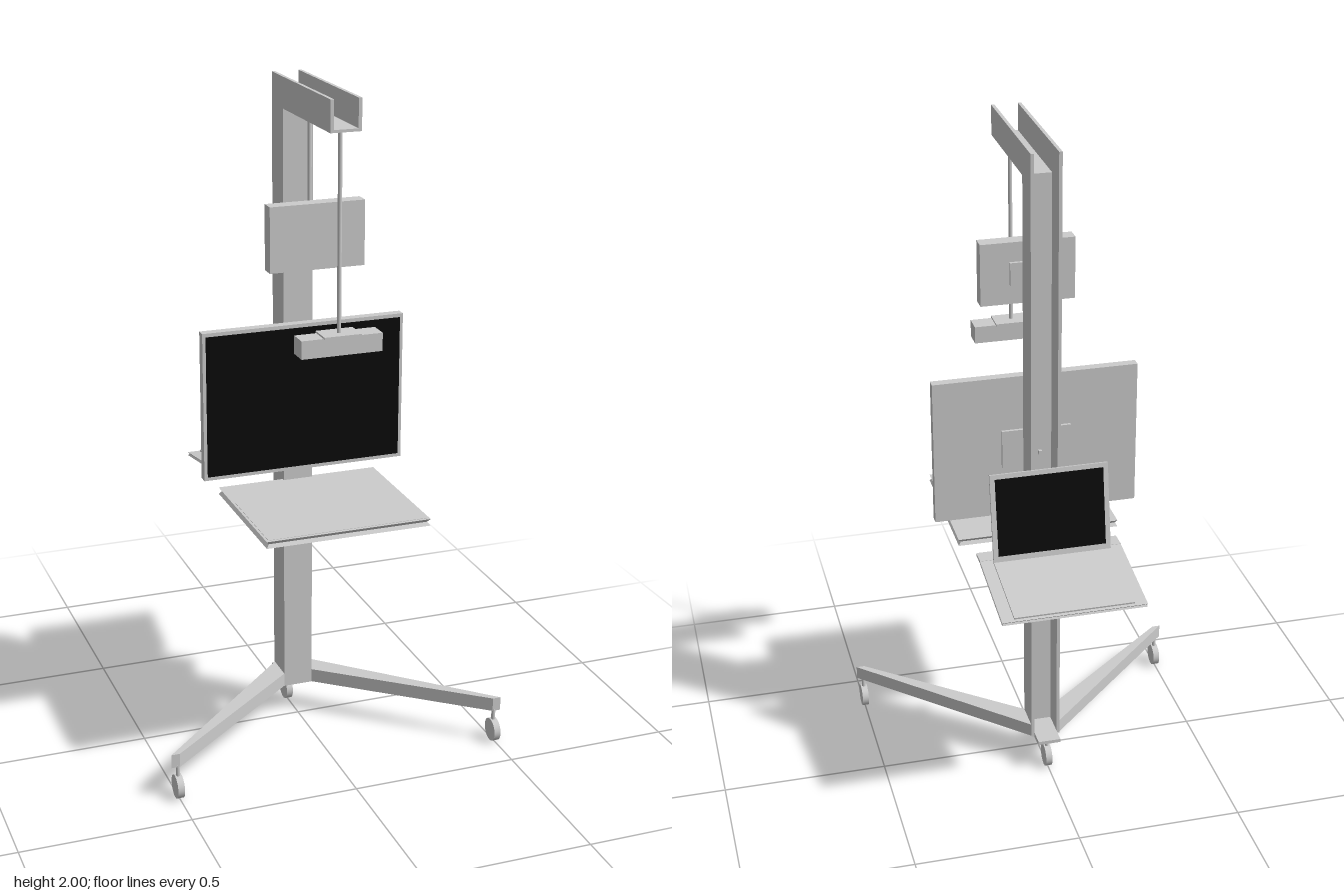
import * as THREE from 'three';

const grey = new THREE.MeshStandardMaterial({ color: 0xcccccc });
const black = new THREE.MeshStandardMaterial({ color: 0x0a0a0a });

function add(parent, name, geometry, material = grey) {
  const mesh = new THREE.Mesh(geometry, material);
  mesh.name = name;
  parent.add(mesh);
  return mesh;
}

// Box given by its lowest and highest coordinates
function box(parent, name, [x0, x1], [y0, y1], [z0, z1], material) {
  const mesh = add(parent, name, new THREE.BoxGeometry(x1 - x0, y1 - y0, z1 - z0), material);
  mesh.position.set((x0 + x1) / 2, (y0 + y1) / 2, (z0 + z1) / 2);
  return mesh;
}

// Vertical round bar
function rod(parent, name, radius, x, [y0, y1], z) {
  const mesh = add(parent, name, new THREE.CylinderGeometry(radius, radius, y1 - y0, 16));
  mesh.position.set(x, (y0 + y1) / 2, z);
  return mesh;
}

// Tray slab whose edges are pinched into a V groove halfway up
function groovedSlab(w, h, d, groove) {
  const g = new THREE.BoxGeometry(w, h, d, 1, 2, 1);
  const p = g.attributes.position;
  for (let i = 0; i < p.count; i++) {
    if (Math.abs(p.getY(i)) < h / 4) {
      p.setX(i, p.getX(i) - Math.sign(p.getX(i)) * groove);
      p.setZ(i, p.getZ(i) - Math.sign(p.getZ(i)) * groove);
    }
  }
  const flat = g.toNonIndexed();
  flat.computeVertexNormals();
  return flat;
}

function polygon(points) {
  return new THREE.Shape(points.map(([x, y]) => new THREE.Vector2(x, y)));
}

function caster(parent, x, z) {
  const group = new THREE.Group();
  group.name = 'caster';
  const wheel = add(group, 'wheel', new THREE.CylinderGeometry(0.035, 0.035, 0.02, 32));
  wheel.rotation.z = Math.PI / 2;
  wheel.position.y = 0.036;
  rod(group, 'casterStem', 0.006, 0, [0.06, 0.105], 0);
  group.position.set(x, 0, z);
  parent.add(group);
}

// Post and overhead boom: two L-shaped cheeks joined by webs on the inner side
function buildFrame(root) {
  const frame = new THREE.Group();
  frame.name = 'frame';
  root.add(frame);
  const outline = polygon([[-0.095, 0.1], [0, 0.1], [0, 1.91], [0.375, 1.91], [0.375, 2], [-0.095, 2]]);
  for (const x of [0.045, -0.035]) {
    const g = new THREE.ExtrudeGeometry(outline, { depth: 0.01, bevelEnabled: false });
    g.rotateY(-Math.PI / 2);
    add(frame, 'frameCheek', g).position.x = x;
  }
  box(frame, 'postWeb', [-0.035, 0.035], [0.1, 1.918], [-0.02, 0]);
  box(frame, 'boomWeb', [-0.035, 0.035], [1.91, 1.918], [0, 0.375]);
}

// Tapered splayed legs and three casters
function buildBase(root) {
  const base = new THREE.Group();
  base.name = 'base';
  root.add(base);
  for (const s of [1, -1]) {
    const shape = polygon([[0.04, 0.095], [0.52, -0.37], [0.495, -0.37], [0.04, 0.005]]
      .map(([x, y]) => [x * s, y]));
    const g = new THREE.ExtrudeGeometry(shape, { depth: 0.042, bevelEnabled: false });
    g.rotateX(-Math.PI / 2);
    add(base, 'leg', g).position.y = 0.1;
    caster(base, 0.5 * s, 0.365);
  }
  box(base, 'rearCasterPlate', [-0.035, 0.035], [0.1, 0.111], [-0.145, -0.02]);
  caster(base, 0, -0.11);
}

// Main display on its wall plate
function buildDisplay(root) {
  const display = new THREE.Group();
  display.name = 'display';
  root.add(display);
  box(display, 'displayBody', [-0.31, 0.31], [0.84, 1.29], [0.025, 0.053]);
  box(display, 'displayPanel', [-0.3, 0.3], [0.851, 1.279], [0.05, 0.055], black);
  box(display, 'displayPlate', [-0.105, 0.105], [1.0, 1.12], [0.016, 0.026]);
  box(display, 'displayArm', [-0.005, 0.005], [1.055, 1.067], [-0.03, 0.018]);
}

// Units hung from the boom
function buildHangers(root) {
  const upper = new THREE.Group();
  upper.name = 'upperUnit';
  rod(upper, 'upperRod', 0.006, 0, [1.575, 1.913], 0.095);
  box(upper, 'upperArm', [-0.005, 0.005], [1.572, 1.584], [0.09, 0.113]);
  box(upper, 'upperPlate', [-0.055, 0.055], [1.54, 1.61], [0.108, 0.12]);
  box(upper, 'upperBox', [-0.142, 0.142], [1.48, 1.67], [0.118, 0.162]);

  const lower = new THREE.Group();
  lower.name = 'lowerUnit';
  rod(lower, 'lowerRod', 0.006, 0, [1.338, 1.913], 0.332);
  box(lower, 'lowerPlate', [-0.055, 0.055], [1.336, 1.343], [0.294, 0.365]);
  box(lower, 'lowerBox', [-0.12, 0.12], [1.285, 1.338], [0.3, 0.359]);
  root.add(upper, lower);
}

// Front work tray with a thin inset pad
function buildFrontTray(root) {
  const tray = add(root, 'frontTray', groovedSlab(0.495, 0.02, 0.44, 0.008));
  tray.position.set(0, 0.779, 0.21);
  box(root, 'frontTrayPad', [-0.24, 0.24], [0.785, 0.79], [0.13, 0.42]);
}

// Rear shelf sloping away from the post, carrying an open portable computer
function buildRearShelf(root) {
  const shelf = new THREE.Group();
  shelf.name = 'rearShelf';
  root.add(shelf);
  box(shelf, 'shelfFlat', [-0.215, 0.215], [0.784, 0.792], [-0.155, -0.104]);

  const slope = new THREE.Group();
  slope.name = 'shelfSlope';
  slope.position.set(0, 0.787, -0.15);
  slope.rotation.x = -0.157;
  add(slope, 'shelfPlate', groovedSlab(0.43, 0.01, 0.288, 0.004)).position.z = -0.144;
  box(slope, 'computerBase', [-0.178, 0.178], [0.003, 0.01], [-0.278, -0.022]);
  shelf.add(slope);

  const lid = new THREE.Group();
  lid.name = 'computerLid';
  lid.position.set(0, 0.79, -0.172);
  lid.rotation.x = 0.176;
  box(lid, 'lidBody', [-0.178, 0.178], [0, 0.27], [-0.004, 0.004]);
  box(lid, 'lidPanel', [-0.163, 0.163], [0.02, 0.256], [-0.0055, -0.003], black);
  shelf.add(lid);
}

export function createModel() {
  const root = new THREE.Group();
  root.name = 'mobileWorkstation';
  buildFrame(root);
  buildBase(root);
  buildDisplay(root);
  buildHangers(root);
  buildFrontTray(root);
  buildRearShelf(root);
  return root;
}
